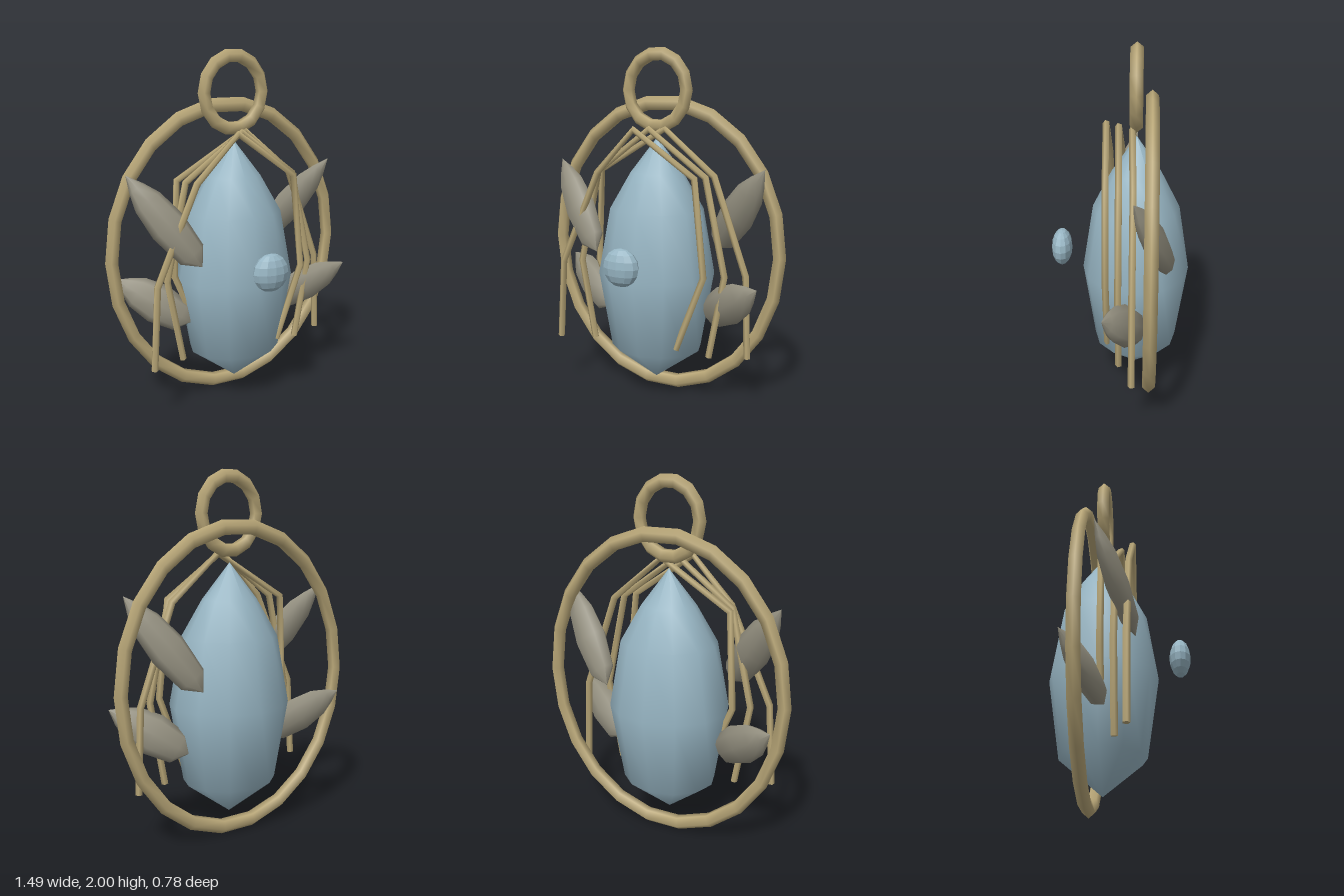
import * as THREE from 'three';

const material = (name, color, extra = {}) => {
  const m = new THREE.MeshStandardMaterial({ color, ...extra });
  m.name = name;
  return m;
};

// Teardrop shape: long point up, blunt point down, spanning y 0..1 with radius 1
const teardrop = (sides) => new THREE.LatheGeometry(
  [[0, 0], [0.78, 0.14], [1, 0.45], [0.8, 0.715], [0.45, 0.86], [0, 1]]
    .map(([r, y]) => new THREE.Vector2(r, y)), sides);

export function createModel() {
  const group = new THREE.Group();
  const gold = material('gold', 0xb9a778);
  const blue = material('pale blue', 0x98b6c4);
  const facetBlue = blue.clone();
  facetBlue.name = 'faceted pale blue';
  facetBlue.flatShading = true;
  const grey = material('warm grey', 0x949080);

  const add = (name, geometry, mat, parent = group) => {
    const mesh = new THREE.Mesh(geometry, mat);
    mesh.name = name;
    parent.add(mesh);
    return mesh;
  };

  // Oval frame and hanging loop
  const frame = add('frame', new THREE.TorusGeometry(0.708, 0.037, 5, 22), gold);
  frame.scale.y = 1.175;
  frame.position.set(0, 0.87, -0.172);
  const loop = add('hangingLoop', new THREE.TorusGeometry(0.181, 0.036, 5, 14), gold);
  loop.scale.y = 1.09;
  loop.position.set(0, 1.77, -0.088);

  // Central stone
  const stone = add('stone', teardrop(12), blue);
  stone.scale.set(0.345, 1.42, 0.302);
  stone.position.set(0, 0.09, -0.09);

  // Bead in front of the stone
  const bead = add('bead', new THREE.SphereGeometry(0.105, 12, 8), facetBlue);
  bead.scale.z = 0.56;
  bead.position.set(0, 0.85, 0.332);

  // Bent wires draped over the stone, each with a flat cap at both ends
  const wireRadius = 0.02;
  const addWire = (name, points) => {
    const wire = new THREE.Group();
    wire.name = name;
    group.add(wire);
    const pts = points.map((p) => new THREE.Vector3(...p));
    const path = new THREE.Curve();
    path.getPoint = (t, target = new THREE.Vector3()) => {
      const s = t * (pts.length - 1);
      const i = Math.min(Math.floor(s + 1e-9), pts.length - 2);
      return target.lerpVectors(pts[i], pts[i + 1], s - i);
    };
    path.getUtoTmapping = (u) => u;
    add('wireStrand', new THREE.TubeGeometry(path, pts.length - 1, wireRadius, 5), gold, wire);
    for (const [end, next] of [[pts[0], pts[1]], [pts.at(-1), pts.at(-2)]]) {
      const cap = add('wireEnd', new THREE.CircleGeometry(wireRadius, 5), gold, wire);
      cap.position.copy(end);
      cap.lookAt(end.clone().multiplyScalar(2).sub(next));
    }
  };
  // z, apex x, shoulder x, then knee x, end x and end y for each side
  const wires = [
    ['frontWire', 0.065, -0.06, 0.3, [-0.54, -0.57, 0.3], [0.36, 0.2, 0.34]],
    ['middleWire', -0.005, 0, 0.335, [-0.455, -0.37, 0.3], [0.455, 0.37, 0.3]],
    ['backWire', -0.08, 0.06, 0.355, [-0.38, -0.2, 0.34], [0.55, 0.57, 0.3]],
  ];
  for (const [name, z, apex, shoulder, a, b] of wires) {
    addWire(name, [
      [a[1], a[2], z], [a[0], 0.77, z], [-shoulder, 1.31, z], [apex, 1.56, z + 0.012],
      [shoulder, 1.31, z], [b[0], 0.77, z], [b[1], b[2], z],
    ]);
  }

  // Flattened leaves running from a blunt base to a pointed tip
  const addLeaf = (name, base, tip, width) => {
    const from = new THREE.Vector3(...base);
    const axis = new THREE.Vector3(...tip).sub(from);
    const length = axis.length();
    axis.normalize();
    const side = new THREE.Vector3().crossVectors(axis, new THREE.Vector3(0, 0, 1)).normalize();
    const front = new THREE.Vector3().crossVectors(side, axis);
    const leaf = add(name, teardrop(8), grey);
    leaf.quaternion.setFromRotationMatrix(new THREE.Matrix4().makeBasis(side, axis, front));
    leaf.scale.set(width, length, 0.062);
    leaf.position.copy(from);
  };
  addLeaf('upperRightLeaf', [-0.29, 0.86, 0.1], [-0.64, 1.36, -0.09], 0.105);
  addLeaf('lowerRightLeaf', [-0.29, 0.49, -0.06], [-0.665, 0.745, -0.25], 0.115);
  addLeaf('upperLeftLeaf', [0.29, 0.86, -0.28], [0.64, 1.36, -0.085], 0.105);
  addLeaf('lowerLeftLeaf', [0.29, 0.49, -0.13], [0.665, 0.745, 0.07], 0.115);

  return group;
}
